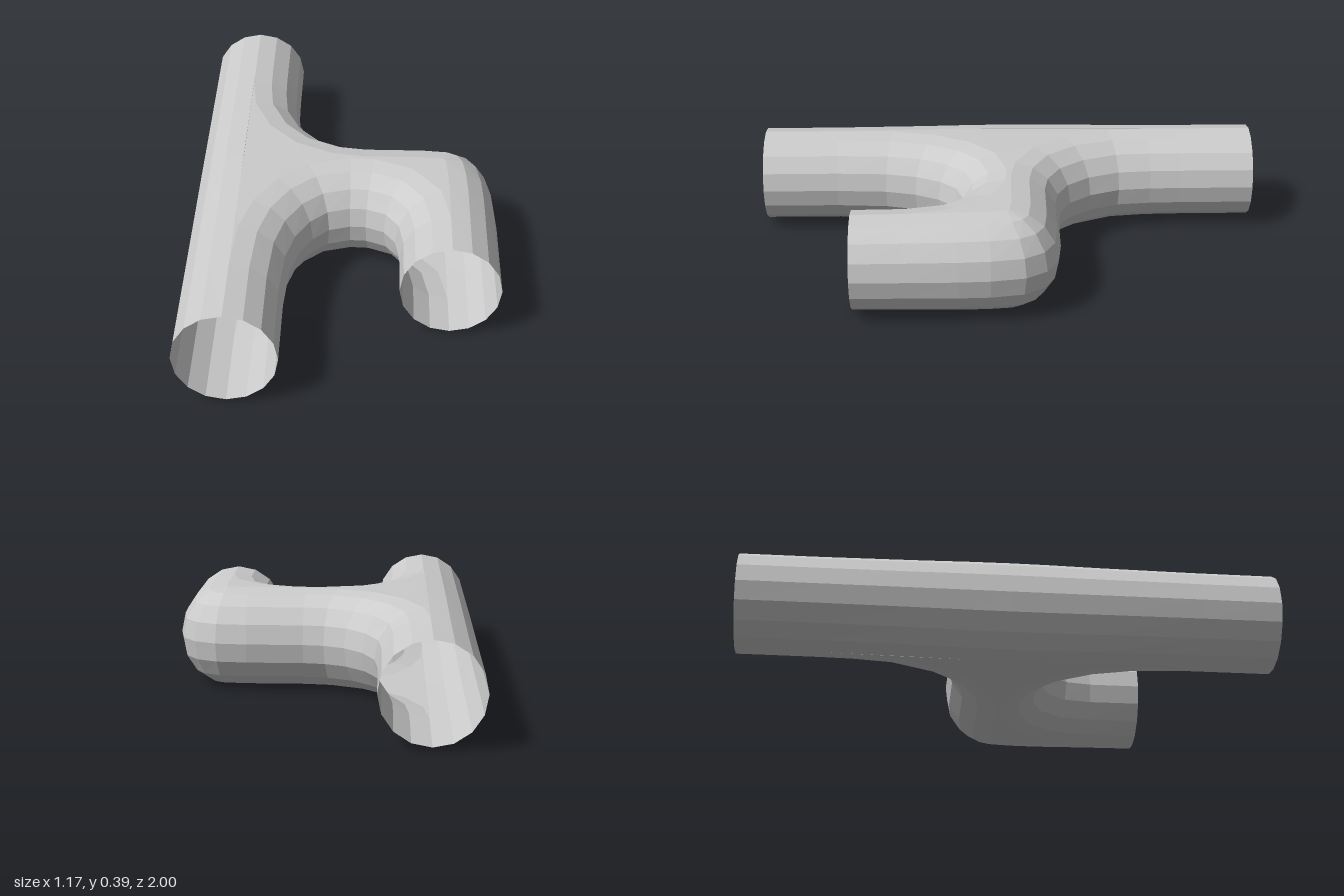
import * as THREE from 'three';

const R = 0.188, MID_Y = 0.197, PIPE_X = -0.4, SIDES = 8;

// Wall stations: [x, z] on the outermost line of the wall and its outward angle in degrees
const BACK = [
  [-0.212, -1, 0], [-0.212, -0.7, 0], [-0.21, -0.58, -4], [-0.198, -0.45, -12], [-0.15, -0.33, -32],
  [-0.08, -0.245, -50], [0, -0.203, -74], [0.08, -0.19, -88], [0.3, -0.188, -90], [0.42, -0.175, -78],
  [0.505, -0.13, -52], [0.558, -0.05, -26], [0.58, 0.08, -5], [0.585, 0.2, 0], [0.585, 0.4, 0], [0.585, 0.6, 0],
];
const FRONT = [
  [-0.212, 1, 0], [-0.212, 0.7, 0], [-0.2, 0.5, 9], [-0.17, 0.38, 24], [-0.12, 0.285, 43],
  [-0.06, 0.225, 63], [0.02, 0.2, 90], [0.08, 0.203, 101], [0.15, 0.235, 125], [0.192, 0.3, 157],
  [0.209, 0.4, 180], [0.209, 0.6, 180],
];
const LEFT = [-1, -0.7, -0.35, -0.15, 0, 0.15, 0.35, 0.7, 1].map((z) => [PIPE_X - R, z, 180]);

// The pipes are slightly taller around the junction
const halfHeight = (z) => 0.185 + 0.009 * Math.exp(-((z / 0.4) ** 2));

// Ridge point: the top centre of the half-round section at a station
function ridge([x, z, deg]) {
  const a = THREE.MathUtils.degToRad(deg);
  return new THREE.Vector2(x - R * Math.cos(a), z - R * Math.sin(a));
}

function makeMesh(name, positions, index) {
  const geometry = new THREE.BufferGeometry();
  geometry.setAttribute('position', new THREE.Float32BufferAttribute(positions, 3));
  geometry.setIndex(index);
  geometry.computeVertexNormals();
  const material = new THREE.MeshStandardMaterial({
    color: 0xcccccc, flatShading: true, side: THREE.DoubleSide,
  });
  const mesh = new THREE.Mesh(geometry, material);
  mesh.name = name;
  return mesh;
}

// Half-round wall lofted through its stations, from the top ridge to the bottom ridge
function makeWall(name, stations) {
  const positions = [], index = [];
  stations.forEach((station, i) => {
    const c = ridge(station), a = THREE.MathUtils.degToRad(station[2]);
    for (let j = 0; j <= SIDES; j++) {
      const t = (j / SIDES) * Math.PI, out = R * Math.sin(t);
      positions.push(
        c.x + out * Math.cos(a),
        MID_Y + halfHeight(c.y) * Math.cos(t),
        c.y + out * Math.sin(a));
      if (i === 0 || j === 0) continue;
      const d = i * (SIDES + 1) + j, b = d - SIDES - 1;
      index.push(b - 1, b, d - 1, b, d, d - 1);
    }
  });
  return makeMesh(name, positions, index);
}

// Web closing the area between the ridges, side = 1 for the top and -1 for the bottom
function makeWeb(name, side) {
  const outline = [
    ...FRONT.slice(1, -1).map(ridge),
    ...BACK.slice(1, -2).reverse().map(ridge),
    ...LEFT.slice(2, -2).map(ridge),
  ];
  const positions = outline.flatMap((p) => [p.x, MID_Y + side * halfHeight(p.y), p.y]);
  const index = THREE.ShapeUtils.triangulateShape(outline, []).flatMap(([a, b, c]) => {
    const ab = outline[b].clone().sub(outline[a]), ac = outline[c].clone().sub(outline[a]);
    return ab.cross(ac) * side < 0 ? [a, b, c] : [a, c, b];
  });
  return makeMesh(name, positions, index);
}

export function createModel() {
  const group = new THREE.Group();
  group.name = 'pipeJunction';
  group.add(
    makeWall('mainPipeOuterWall', LEFT),
    makeWall('branchFrontWall', FRONT),
    makeWall('branchBackWall', [...BACK].reverse()),
    makeWeb('junctionTop', 1),
    makeWeb('junctionBottom', -1));
  return group;
}
